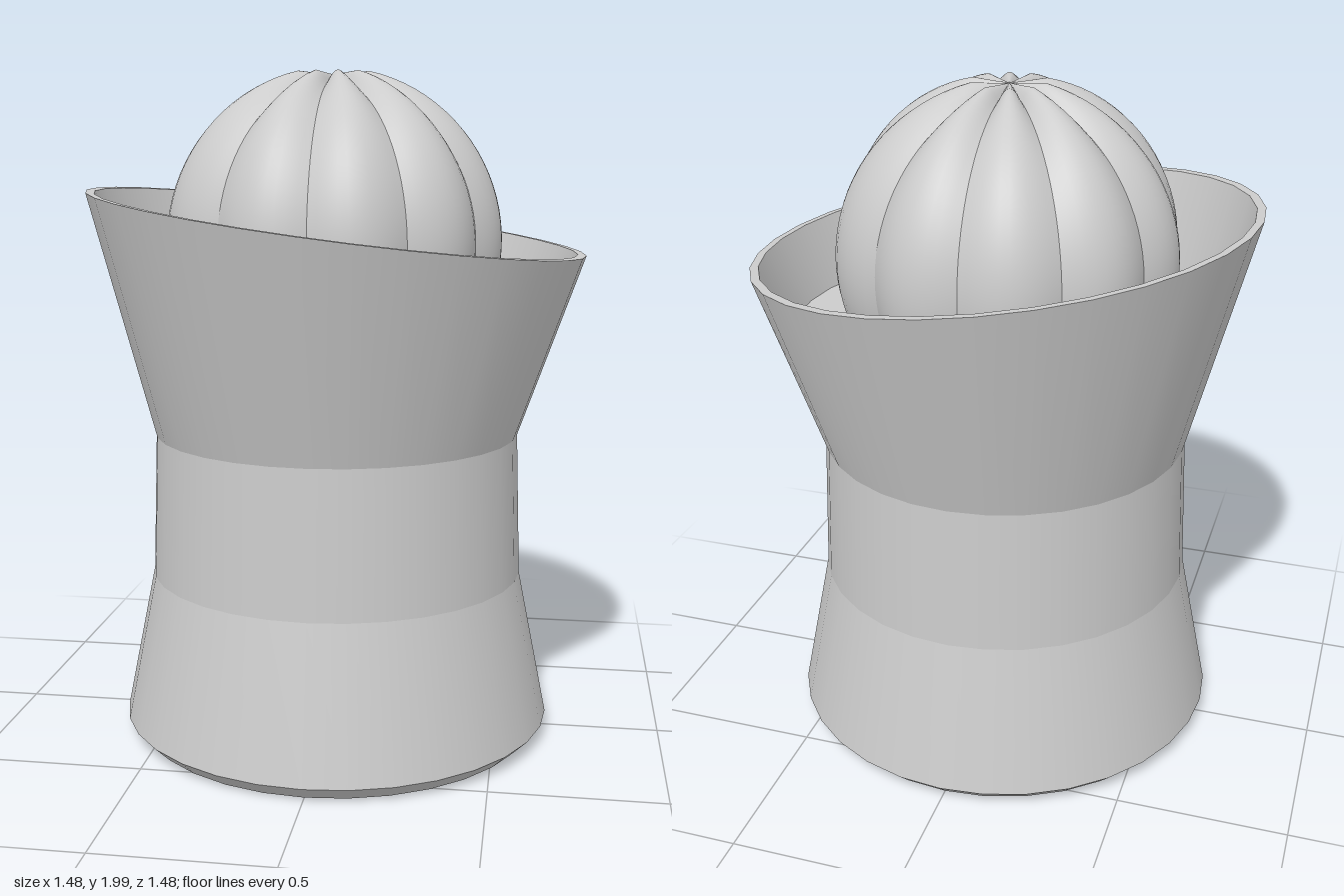
import * as THREE from 'three';

const material = new THREE.MeshStandardMaterial({ color: 0xcccccc, side: THREE.DoubleSide });
const RIM_Y = 1.555, RIM_SLOPE = -0.129;

// One smooth band of revolution; separate bands keep the edges between them sharp
function band(name, points) {
  const geometry = new THREE.LatheGeometry(points.map(([r, y]) => new THREE.Vector2(r, y)), 32);
  const p = geometry.attributes.position;
  // Vertices at rim height follow the slanted pouring edge
  for (let i = 0; i < p.count; i++) {
    if (Math.abs(p.getY(i) - RIM_Y) < 1e-4) p.setY(i, RIM_Y + RIM_SLOPE * p.getX(i));
  }
  const mesh = new THREE.Mesh(geometry, material);
  mesh.name = name;
  return mesh;
}

// One rounded rib of the reamer, between two groove angles
function rib(start, end) {
  const rows = 28, cols = 10, maxTheta = 2.03, radius = 0.507;
  const positions = [], indices = [];
  for (let i = 0; i <= rows; i++) {
    const theta = 0.002 + (maxTheta - 0.002) * (i / rows);
    const nearTop = Math.min(1, theta / 0.22);
    for (let j = 0; j <= cols; j++) {
      const u = j / cols;
      const phi = THREE.MathUtils.degToRad(start + (end - start) * u);
      const arch = Math.sin(Math.PI * u) * nearTop;
      const depth = 0.036 - 0.016 * (1 - nearTop);
      const r = radius - depth * (1 - arch);
      positions.push(
        r * Math.sin(theta) * Math.cos(phi),
        r * Math.cos(theta),
        -r * Math.sin(theta) * Math.sin(phi)
      );
      if (i < rows && j < cols) {
        const a = i * (cols + 1) + j, b = a + cols + 1;
        indices.push(a, b, a + 1, b, b + 1, a + 1);
      }
    }
  }
  const geometry = new THREE.BufferGeometry();
  geometry.setAttribute('position', new THREE.Float32BufferAttribute(positions, 3));
  geometry.setIndex(indices);
  geometry.computeVertexNormals();
  const mesh = new THREE.Mesh(geometry, material);
  mesh.name = 'reamerRib';
  return mesh;
}

export function createModel() {
  const model = new THREE.Group();
  model.name = 'citrusJuicer';

  // Hollow base, open underneath
  const base = new THREE.Group();
  base.name = 'base';
  base.add(
    band('footChamfer', [[0.61, 0], [0.655, 0.045]]),
    band('lowerBody', [[0.655, 0.045], [0.565, 0.49]]),
    band('waist', [[0.565, 0.49], [0.55, 0.92]])
  );

  // Flared bowl with a slanted rim
  const bowl = new THREE.Group();
  bowl.name = 'bowl';
  bowl.add(
    band('bowlOuterWall', [[0.55, 0.92], [0.74, RIM_Y]]),
    band('bowlRim', [[0.74, RIM_Y], [0.715, RIM_Y]]),
    band('bowlInnerWall', [[0.715, RIM_Y], [0.63, 1.27]]),
    band('bowlFloor', [[0.63, 1.27], [0, 1.27]])
  );

  // Ribbed reamer dome, with two ribs wider than the rest
  const reamer = new THREE.Group();
  reamer.name = 'reamer';
  const grooves = [-22, 11, 56, 90, 124, 158, 191, 236, 270, 304, 338];
  for (let i = 0; i < grooves.length - 1; i++) reamer.add(rib(grooves[i], grooves[i + 1]));
  reamer.position.set(-0.012, 1.496, 0);

  model.add(base, bowl, reamer);
  return model;
}
